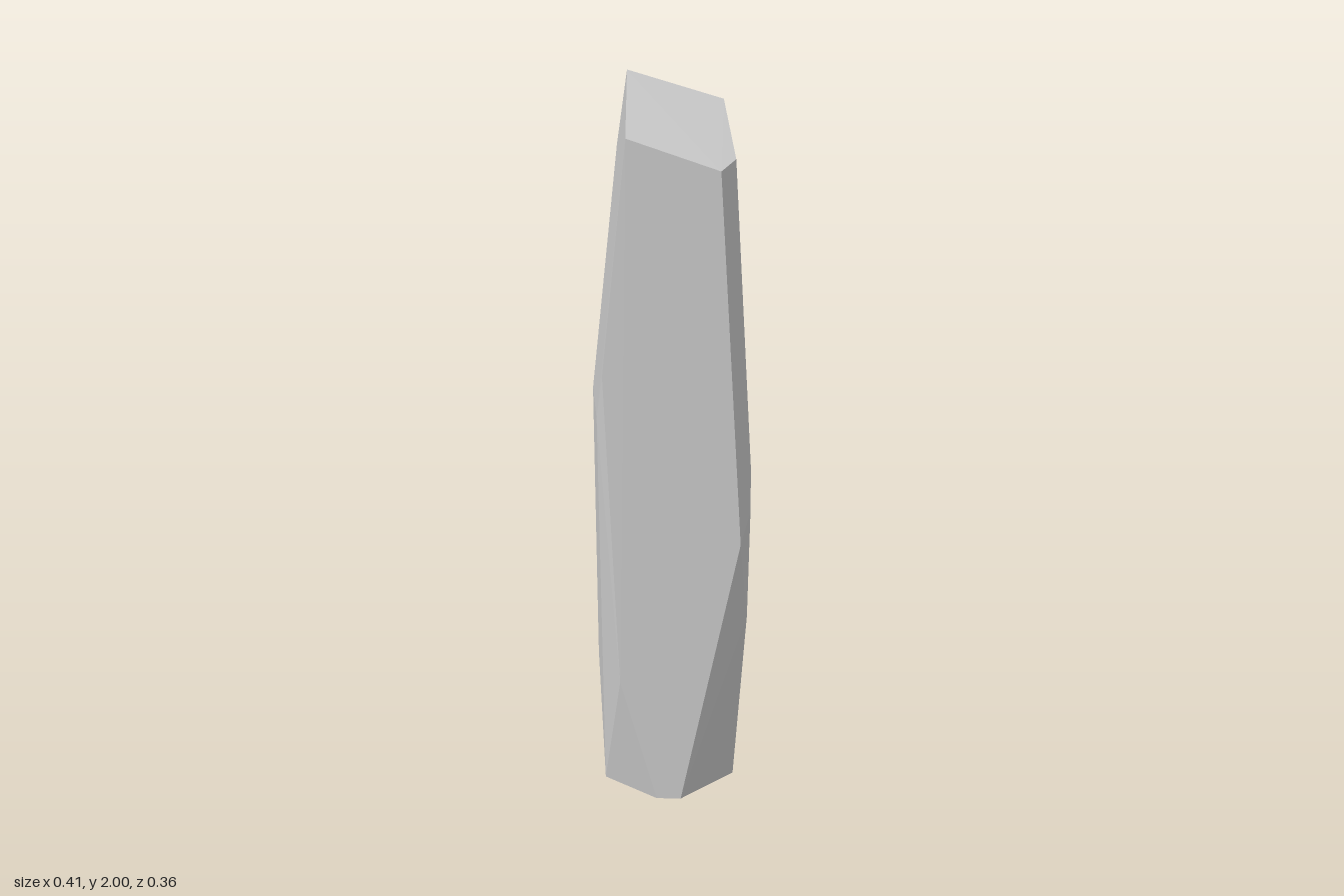
import * as THREE from 'three';
import { ConvexGeometry } from 'three/addons/geometries/ConvexGeometry.js';

// Corners of each level of the faceted stone, as [x, y, z]
const topRidge = [[-0.115, 2, -0.067], [0.146, 1.91, -0.066]];
const shoulders = [
  [-0.135, 1.88, 0.147], [0.123, 1.785, 0.163], [0.167, 1.8, 0.11],
  [-0.135, 1.75, -0.168], [0.147, 1.74, -0.135], [0.136, 1.64, -0.178], [0.157, 1.45, -0.179],
];
const waist = [
  [-0.198, 1.2, 0.149], [-0.21, 1.07, 0.115], [-0.2, 1.06, -0.158],
  [0.183, 0.86, -0.173], [0.205, 0.92, 0.13], [0.174, 0.72, 0.177], [0.203, 0.8, 0.14],
];
const lowerCorners = [
  [-0.15, 0.33, 0.164], [0.194, 0.5, 0.13], [0.16, 0.18, -0.16], [-0.185, 0.31, -0.148],
];
const foot = [
  [0.09, 0.1, -0.15], [0, 0.09, -0.15], [0.08, 0.025, -0.08], [-0.03, 0.03, -0.09],
  [-0.18, 0.02, 0.044], [-0.052, 0, 0.17], [0.012, 0, 0.178], [0.16, 0.03, 0.065],
];

export function createModel() {
  const group = new THREE.Group();
  group.name = 'standingStone';

  // One convex, flat-faced body
  const points = [...topRidge, ...shoulders, ...waist, ...lowerCorners, ...foot]
    .map((p) => new THREE.Vector3(...p));
  const stone = new THREE.Mesh(
    new ConvexGeometry(points),
    new THREE.MeshStandardMaterial({ color: 0xcccccc, flatShading: true }),
  );
  stone.name = 'stone';
  group.add(stone);
  return group;
}
